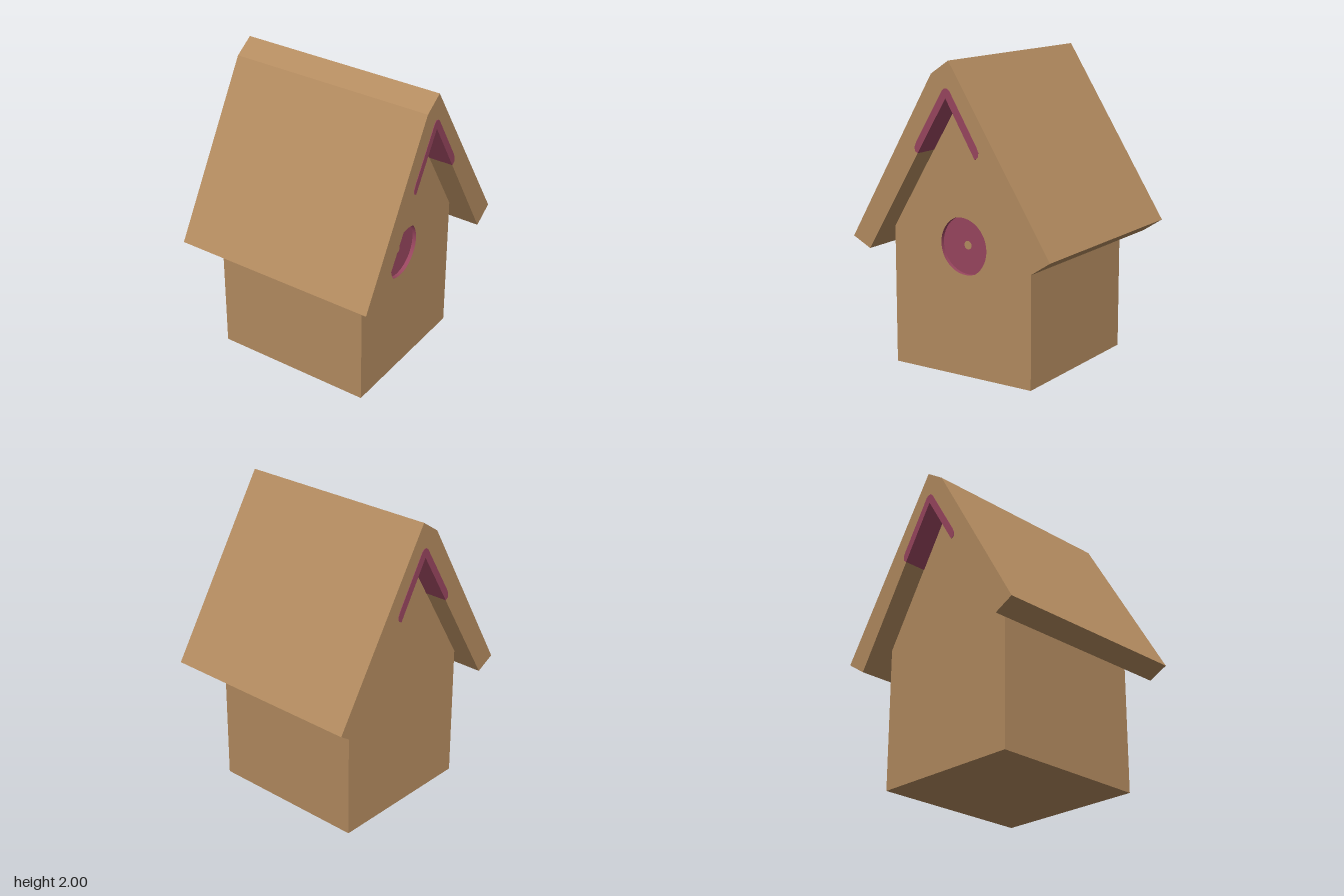
import * as THREE from 'three';

export function createModel() {
  const model = new THREE.Group();
  const wood = new THREE.MeshStandardMaterial({ color: 0xb48c60 });
  wood.name = 'tan wood';
  const paint = new THREE.MeshStandardMaterial({ color: 0x99465f, side: THREE.DoubleSide });
  paint.name = 'plum paint';

  const add = (name, geometry, material) => {
    const mesh = new THREE.Mesh(geometry, material);
    mesh.name = name;
    model.add(mesh);
    return mesh;
  };
  // Shape from [z, y] points, extruded along x from x0 to x1
  const outline = (points) => new THREE.Shape(points.map(([z, y]) => new THREE.Vector2(-z, y)));
  const extrudeX = (shape, x0, x1) =>
    new THREE.ExtrudeGeometry(shape, { depth: x1 - x0, bevelEnabled: false, curveSegments: 48 })
      .rotateY(Math.PI / 2).translate(x0, 0, 0);

  // House body: solid core and a front slab with the entrance recess
  const gable = [[0.53, 0], [0.53, 0.904], [0, 1.78], [-0.5, 0.947], [-0.5, 0]];
  const holeZ = 0.015, holeY = 0.83, holeR = 0.19, wallX = 0.535, recessX = 0.455;
  add('houseBody', extrudeX(outline(gable), -0.55, recessX), wood);
  const slab = outline(gable);
  slab.holes.push(new THREE.Path().absarc(-holeZ, holeY, holeR, 0, Math.PI * 2, true));
  add('entranceWall', extrudeX(slab, recessX, wallX), wood);

  // Painted recess floor, lower rim and centre dot
  const disc = (r, x) => new THREE.CircleGeometry(r, 48).rotateY(Math.PI / 2).translate(x, holeY, holeZ);
  add('entranceFloor', disc(holeR, recessX + 0.003), paint);
  add('entranceDot', disc(0.027, recessX + 0.006), wood);
  add('entranceRim', new THREE.CylinderGeometry(holeR - 0.002, holeR - 0.002, 0.03, 48, 1, true)
    .rotateZ(Math.PI / 2).translate(recessX + 0.015, holeY, holeZ), paint);

  // Gabled roof with a lapped ridge
  add('roof', extrudeX(outline([
    [0.735, 0.845], [0.107, 1.915], [-0.02, 2], [-0.735, 0.87], [-0.6, 0.78], [0, 1.78], [0.605, 0.78],
  ]), -0.7, 0.7), wood);

  // Painted peak bands on both gable overhangs, wrapping the soffit
  const band = outline([
    [0.213, 1.425], [0.233, 1.438], [0.235, 1.465], [0.222, 1.495], [0.025, 1.82], [0.01, 1.833],
    [-0.01, 1.833], [-0.028, 1.82], [-0.222, 1.5], [-0.235, 1.47], [-0.233, 1.443], [-0.21, 1.425],
    [0, 1.775],
  ]);
  add('peakBandLeft', extrudeX(band, 0.53, 0.703), paint);
  add('peakBandRight', extrudeX(band, -0.703, -0.545), paint);

  return model;
}
